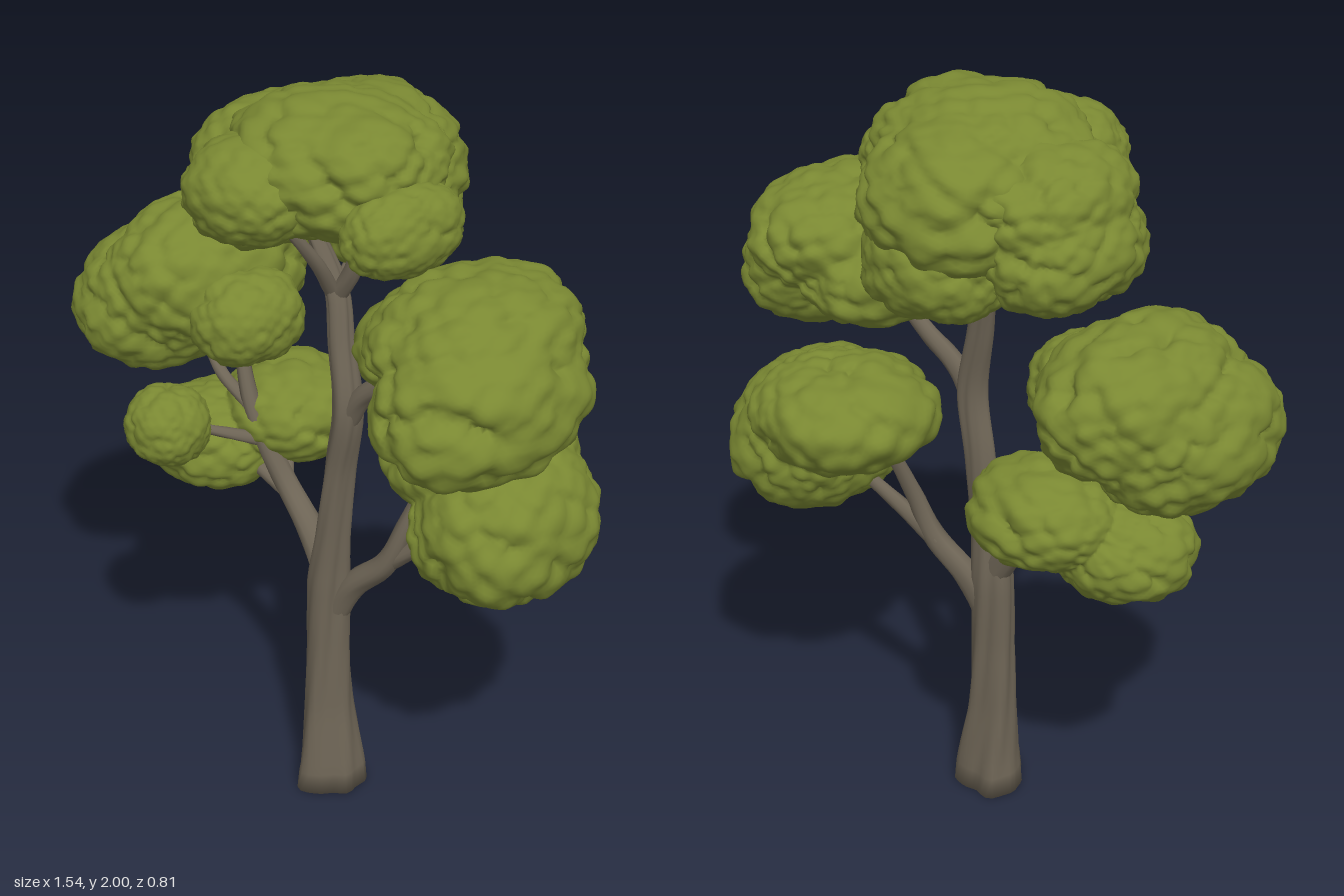
import * as THREE from 'three';
import { mergeVertices } from 'three/addons/utils/BufferGeometryUtils.js';

const leaf = new THREE.MeshStandardMaterial({ color: 0x7a8832 });
leaf.name = 'leaf green';
const bark = new THREE.MeshStandardMaterial({ color: 0x6d6455 });
bark.name = 'bark brown';

function seeded(seed) {
  let s = seed * 7919 + 17;
  return () => (s = (s * 16807) % 2147483647) / 2147483647;
}

// weld shared corners so the normals come out smooth
function smooth(geometry) {
  geometry.deleteAttribute('uv');
  geometry.deleteAttribute('normal');
  const welded = mergeVertices(geometry, 1e-5);
  welded.computeVertexNormals();
  return welded;
}

// jittered, evenly spread directions: the centres of leafy puffs
function puffCentres(count, random) {
  const jitter = 2 / Math.sqrt(count);
  return Array.from({ length: count }, (_, i) => {
    const y = 1 - (2 * (i + 0.5)) / count;
    const a = i * 2.39996;
    const r = Math.sqrt(1 - y * y);
    const off = () => (random() - 0.5) * jitter;
    return new THREE.Vector3(r * Math.cos(a) + off(), y + off(), r * Math.sin(a) + off()).normalize();
  });
}

// rounded height (0..1) above the nearest puff centre
function puffHeight(dir, centres) {
  let nearest = 9;
  for (const c of centres) nearest = Math.min(nearest, dir.distanceToSquared(c));
  return Math.sqrt(Math.max(0, 1 - (nearest * centres.length) / 7.5));
}

// one lumpy skin around overlapping ellipsoids [x, y, z, rx, ry, rz]
function foliage(lobes, seed) {
  const random = seeded(seed);
  const merged = lobes.length > 1;
  const big = puffCentres(merged ? 26 : 15, random);
  const small = puffCentres(merged ? 140 : 70, random);
  const spin = random() * 6;
  const centre = new THREE.Vector3();
  for (const [x, y, z] of lobes) centre.add(new THREE.Vector3(x, y, z).divideScalar(lobes.length));
  const shells = lobes.map(([x, y, z, rx, ry, rz]) => {
    const radii = new THREE.Vector3(rx, ry, rz);
    return { radii, offset: new THREE.Vector3(x, y, z).sub(centre).divide(radii) };
  });
  const geometry = smooth(new THREE.IcosahedronGeometry(1, merged ? 24 : 16));
  const p = geometry.attributes.position;
  const d = new THREE.Vector3();
  const q = new THREE.Vector3();
  const power = 2.2;
  for (let i = 0; i < p.count; i++) {
    d.fromBufferAttribute(p, i).normalize();
    const box = (Math.abs(d.x) ** power + Math.abs(d.y) ** power + Math.abs(d.z) ** power) ** (-1 / power);
    const ripple = Math.sin(d.x * 17 + spin) * Math.sin(d.y * 19 - spin) * Math.sin(d.z * 18 + 2 * spin);
    // aim evenly over the first shell's proportions, then find the farthest shell
    d.multiply(shells[0].radii);
    let reach = 0;
    for (const { radii, offset } of shells) {
      q.copy(d).divide(radii);
      const a = q.lengthSq();
      const b = q.dot(offset);
      reach = Math.max(reach, (b + Math.sqrt(b * b - a * (offset.lengthSq() - 1))) / a);
    }
    q.fromBufferAttribute(p, i).normalize();
    const r = reach * box * (0.785 + 0.115 * puffHeight(q, big) + 0.11 * puffHeight(q, small) + 0.025 * ripple);
    p.setXYZ(i, d.x * r, d.y * r, d.z * r);
  }
  geometry.computeVertexNormals();
  const mesh = new THREE.Mesh(geometry, leaf);
  mesh.position.copy(centre);
  return mesh;
}

// tapering, fluted limb through points [x, y, z, radius]
function limb(name, points, flute = 0.06, grounded = false) {
  const curve = new THREE.CatmullRomCurve3(points.map(([x, y, z]) => new THREE.Vector3(x, y, z)));
  const rings = grounded ? 60 : 24;
  const sides = grounded ? 32 : 14;
  const geometry = new THREE.TubeGeometry(curve, rings, 1, sides);
  const p = geometry.attributes.position;
  const v = new THREE.Vector3();
  for (let i = 0; i <= rings; i++) {
    const u = i / rings;
    const centre = curve.getPointAt(u);
    const t = curve.getUtoTmapping(u) * (points.length - 1);
    const k = Math.min(Math.floor(t), points.length - 2);
    const radius = THREE.MathUtils.lerp(points[k][3], points[k + 1][3], t - k);
    for (let j = 0; j <= sides; j++) {
      const a = (j / sides) * Math.PI * 2;
      const r = radius * (1 + flute * Math.cos(3 * a + 2 * u)
        + 0.6 * flute * Math.cos(5 * a + 9 * u) + 0.35 * flute * Math.sin(8 * a + 25 * u));
      const n = i * (sides + 1) + j;
      v.fromBufferAttribute(p, n).sub(centre).multiplyScalar(grounded && i === 0 ? 0 : r).add(centre);
      // the first two rings form the flat foot
      if (grounded && i < 2) v.y = 0;
      p.setXYZ(n, v.x, v.y, v.z);
    }
  }
  const mesh = new THREE.Mesh(smooth(geometry), bark);
  mesh.name = name;
  return mesh;
}

export function createModel() {
  const tree = new THREE.Group();
  tree.name = 'tree';

  // trunk and branches
  const wood = new THREE.Group();
  wood.name = 'wood';
  wood.add(
    limb('trunk', [
      [0.02, 0, 0.04, 0.094], [0.02, 0.08, 0.04, 0.082], [0.012, 0.25, 0.042, 0.064],
      [0.01, 0.45, 0.04, 0.056], [0.01, 0.65, 0.035, 0.055], [0.025, 0.8, 0.035, 0.043],
      [0.045, 1.0, 0.03, 0.038], [0.075, 1.18, 0.03, 0.037], [0.04, 1.35, 0.02, 0.032],
      [0.01, 1.48, 0.01, 0.029], [-0.05, 1.62, 0.03, 0.02], [-0.1, 1.72, 0.05, 0.014]], 0.1, true),
    limb('crownBranchRight', [
      [0.01, 1.46, 0.01, 0.024], [0.06, 1.55, 0, 0.022], [0.08, 1.66, 0, 0.018], [0.1, 1.75, 0, 0.014]]),
    limb('crownTwigRight', [[0.07, 1.58, 0, 0.018], [0.15, 1.65, 0.02, 0.015], [0.26, 1.72, 0.05, 0.011]]),
    limb('crownBranchFront', [[0.01, 1.48, 0.02, 0.02], [0.02, 1.58, 0.08, 0.017], [0, 1.72, 0.18, 0.012]]),
    limb('crownBranchBack', [[0.01, 1.47, 0, 0.02], [-0.02, 1.55, -0.08, 0.016], [-0.04, 1.62, -0.13, 0.012]]),
    limb('upperLeftBranch', [
      [0.07, 1.14, 0.03, 0.03], [0.12, 1.23, 0.02, 0.027], [0.21, 1.31, 0.0, 0.023], [0.31, 1.41, -0.02, 0.016]]),
    limb('lowerLeftBranch', [
      [0.02, 0.53, 0.03, 0.035], [0.07, 0.64, 0.005, 0.035], [0.16, 0.74, -0.03, 0.03],
      [0.2, 0.86, -0.06, 0.023], [0.23, 1.05, -0.14, 0.015]]),
    limb('lowerLeftTwig', [[0.15, 0.73, -0.03, 0.025], [0.25, 0.82, -0.07, 0.021], [0.38, 0.92, -0.12, 0.014]]),
    limb('rightBranch', [
      [0.01, 0.66, 0.035, 0.042], [-0.06, 0.76, 0.035, 0.036], [-0.15, 0.86, 0.04, 0.03],
      [-0.21, 0.97, 0.06, 0.027], [-0.26, 1.08, 0.07, 0.023], [-0.31, 1.22, 0.06, 0.016]]),
    limb('rightTwigOuter', [[-0.26, 1.06, 0.07, 0.018], [-0.38, 1.11, 0.07, 0.016], [-0.47, 1.2, 0.06, 0.012]]),
    limb('rightTwigLow', [[-0.14, 0.84, 0.04, 0.024], [-0.24, 0.88, 0.06, 0.018], [-0.36, 0.91, 0.07, 0.012]]),
    limb('rightTwigBack', [[-0.15, 0.86, 0.04, 0.018], [-0.19, 0.92, 0, 0.014], [-0.23, 0.98, -0.05, 0.01]]),
    limb('rightTwigFront', [[-0.22, 0.97, 0.06, 0.018], [-0.27, 1.01, 0.16, 0.014], [-0.32, 1.05, 0.26, 0.01]]));
  tree.add(wood);

  // foliage clumps: each inner list is one skin around its ellipsoids
  const clumps = {
    crownFoliage: [
      [[0.02, 1.83, 0.03, 0.27, 0.165, 0.26], [0.13, 1.85, 0.02, 0.17, 0.135, 0.21],
        [-0.03, 1.77, -0.12, 0.24, 0.19, 0.245]],
      [[-0.25, 1.67, 0, 0.17, 0.15, 0.23], [-0.2, 1.77, 0, 0.18, 0.15, 0.24]],
      [[0.29, 1.755, 0.05, 0.105, 0.11, 0.165]],
      [[-0.03, 1.8, 0.22, 0.175, 0.125, 0.17]],
      [[-0.02, 1.625, -0.18, 0.2, 0.145, 0.18]]],
    upperLeftFoliage: [[
      [0.56, 1.43, 0.04, 0.21, 0.185, 0.295], [0.47, 1.53, -0.02, 0.22, 0.155, 0.275],
      [0.33, 1.45, -0.04, 0.2, 0.115, 0.22]]],
    lowerLeftFoliage: [[[0.48, 0.99, -0.13, 0.205, 0.21, 0.255], [0.34, 1.1, -0.17, 0.25, 0.14, 0.24]]],
    upperRightFoliage: [
      [[-0.57, 1.28, 0.08, 0.2, 0.195, 0.27], [-0.49, 1.36, 0.01, 0.21, 0.195, 0.29]],
      [[-0.28, 1.31, 0.06, 0.135, 0.125, 0.155]]],
    lowerRightFoliage: [
      [[-0.41, 0.91, 0.06, 0.185, 0.135, 0.18], [-0.27, 1.0, -0.08, 0.19, 0.135, 0.18]],
      [[-0.32, 1.06, 0.29, 0.11, 0.105, 0.11]]],
  };
  let seed = 1;
  for (const [name, skins] of Object.entries(clumps)) {
    const clump = new THREE.Group();
    clump.name = name;
    for (const lobes of skins) clump.add(foliage(lobes, seed++));
    tree.add(clump);
  }
  return tree;
}
